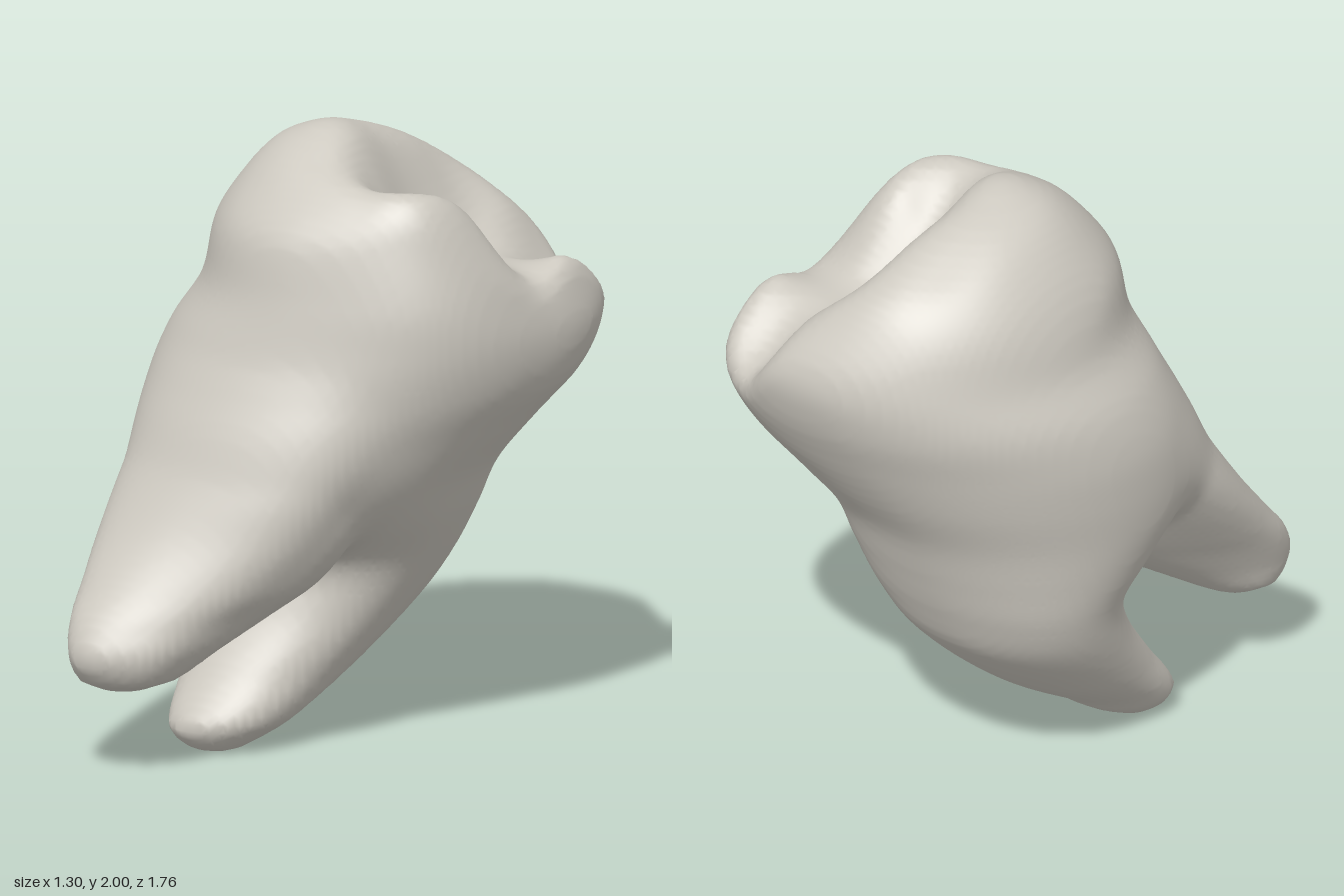
import * as THREE from 'three';

// Horizontal sections: height, x from/to, z from/to, diagonal lean, front right squareness
const BODY = [
  [0.00, -0.34, -0.20, 0.22, 0.34, -0.15, 0.0],
  [0.05, -0.40, -0.13, 0.12, 0.39, -0.20, 0.0],
  [0.10, -0.425, -0.07, 0.05, 0.40, -0.20, 0.0],
  [0.25, -0.465, 0.03, -0.20, 0.29, -0.15, 0.0],
  [0.45, -0.52, 0.16, -0.42, 0.16, -0.08, 0.0],
  [0.60, -0.555, 0.25, -0.50, 0.13, -0.05, 0.0],
  [0.75, -0.60, 0.33, -0.555, 0.28, -0.05, 0.0],
  [0.90, -0.635, 0.40, -0.61, 0.44, -0.05, -0.2],
  [1.05, -0.65, 0.50, -0.70, 0.47, -0.08, -0.3],
  [1.20, -0.645, 0.60, -0.785, 0.42, -0.12, 0.0],
  [1.35, -0.605, 0.635, -0.855, 0.37, -0.12, 0.5],
  [1.50, -0.52, 0.61, -0.88, 0.33, -0.10, 0.9],
  [1.70, -0.47, 0.55, -0.81, 0.285, -0.10, 0.9],
  [1.85, -0.39, 0.50, -0.72, 0.21, -0.05, 0.9],
  [2.00, -0.30, 0.43, -0.60, 0.11, 0.00, 0.9],
];
const FRONT_ROOT = [
  [0.28, -0.40, -0.28, 0.65, 0.77, -0.20, 0.3],
  [0.31, -0.46, -0.20, 0.60, 0.83, -0.28, 0.3],
  [0.40, -0.49, -0.11, 0.46, 0.88, -0.38, 0.3],
  [0.50, -0.515, -0.01, 0.31, 0.84, -0.46, 0.3],
  [0.60, -0.535, 0.10, 0.20, 0.76, -0.42, 0.3],
  [0.75, -0.56, 0.20, 0.10, 0.65, -0.27, 0.3],
  [0.90, -0.57, 0.26, 0.00, 0.565, -0.10, 0.3],
  [1.05, -0.55, 0.30, -0.10, 0.49, -0.02, 0.3],
  [1.25, -0.47, 0.28, -0.20, 0.37, 0.00, 0.3],
  [1.40, -0.38, 0.23, -0.20, 0.22, 0.00, 0.3],
];

// Chewing surface heights: columns x = -0.6..0.6, rows z = 0.3..-0.9
const CHEW = [
  [1.40, 1.70, 1.74, 1.75, 1.74, 1.72, 1.52],
  [1.48, 1.80, 1.89, 1.90, 1.86, 1.84, 1.60],
  [1.48, 1.83, 1.975, 1.975, 1.71, 1.80, 1.60],
  [1.48, 1.80, 1.95, 1.92, 1.57, 1.575, 1.52],
  [1.40, 1.72, 1.86, 1.87, 1.59, 1.53, 1.58],
  [1.28, 1.57, 1.73, 1.77, 1.65, 1.41, 1.46],
  [1.12, 1.37, 1.51, 1.59, 1.57, 1.37, 1.30],
];

const clamp = THREE.MathUtils.clamp;

// Polynomial smooth minimum and maximum
function smin(a, b, k) {
  const h = Math.max(k - Math.abs(a - b), 0) / k;
  return Math.min(a, b) - h * h * k / 4;
}
const smax = (a, b, k) => -smin(-a, -b, k);

// Smooth curve through unevenly spaced rows
function sectionAt(rows, y) {
  const last = rows.length - 1;
  y = clamp(y, rows[0][0], rows[last][0]);
  let i = 0;
  while (i < last - 1 && y > rows[i + 1][0]) i++;
  const a = rows[i], b = rows[i + 1];
  const p = rows[Math.max(i - 1, 0)], q = rows[Math.min(i + 2, last)];
  const h = b[0] - a[0], t = (y - a[0]) / h, t2 = t * t, t3 = t2 * t;
  return [1, 2, 3, 4, 5, 6].map((c) => {
    const ma = (b[c] - p[c]) / (b[0] - p[0]) * h;
    const mb = (q[c] - a[c]) / (q[0] - a[0]) * h;
    return (2 * t3 - 3 * t2 + 1) * a[c] + (t3 - 2 * t2 + t) * ma
      + (3 * t2 - 2 * t3) * b[c] + (t3 - t2) * mb;
  });
}

// Leaning oval section, squarer towards +x; negative inside
function wall([x0, x1, z0, z1, lean, square], x, z) {
  const a = (x1 - x0) / 2, b = (z1 - z0) / 2;
  const u = (x - (x0 + x1) / 2) / a, v = (z - (z0 + z1) / 2) / b;
  const p = 2.1 + (v < 0 ? 0.9 : square) * clamp(u, -0.1, 1);
  const n = Math.pow(Math.pow(Math.abs(u), p) + Math.pow(Math.abs(v), p), 1 / p);
  const diagonal = u * v / Math.max(u * u + v * v, 1e-9);
  const skew = Math.sqrt((1 - 2 * lean * diagonal) / (1 - lean * lean));
  return (n * skew - 1) * Math.min(a, b);
}

function spline(v, t) {
  const last = v.length - 1;
  t = clamp(t, 0, last);
  const i = Math.min(Math.floor(t), last - 1), f = t - i;
  const p = v[Math.max(i - 1, 0)], a = v[i], b = v[i + 1], q = v[Math.min(i + 2, last)];
  return a + 0.5 * f * (b - p + f * (2 * p - 5 * a + 4 * b - q + f * (3 * (a - b) + q - p)));
}
const chewHeight = (x, z) =>
  spline(CHEW.map((row) => spline(row, (x + 0.6) / 0.2)), (0.3 - z) / 0.2);

// Smooth surface around the negative region of a sampled field
function skin(field, min, size, step) {
  const n = size.map((s) => Math.ceil(s / step) + 1);
  const stride = [1, n[0], n[0] * n[1]];
  const f = new Float32Array(n[0] * n[1] * n[2]);
  for (let k = 0, c = 0; k < n[2]; k++)
    for (let j = 0; j < n[1]; j++)
      for (let i = 0; i < n[0]; i++, c++) f[c] = field(i, j, k);

  const cell = new Int32Array(f.length).fill(-1), pos = [], index = [];
  const eachCell = (visit) => {
    for (let k = 0; k < n[2] - 1; k++)
      for (let j = 0; j < n[1] - 1; j++)
        for (let i = 0; i < n[0] - 1; i++) visit([i, j, k], i + j * stride[1] + k * stride[2]);
  };
  // One vertex per crossed cell, at the mean of its edge crossings
  eachCell((at, c) => {
    const sum = [0, 0, 0];
    let count = 0;
    for (let corner = 0; corner < 8; corner++) {
      const o = [corner & 1, (corner >> 1) & 1, corner >> 2];
      const ca = c + o[0] + o[1] * stride[1] + o[2] * stride[2];
      for (let d = 0; d < 3; d++) {
        if (o[d]) continue;
        const fa = f[ca], fb = f[ca + stride[d]];
        if ((fa < 0) === (fb < 0)) continue;
        for (let e = 0; e < 3; e++) sum[e] += o[e] + (e === d ? fa / (fa - fb) : 0);
        count++;
      }
    }
    if (!count) return;
    cell[c] = pos.length / 3;
    for (let e = 0; e < 3; e++) pos.push(min[e] + step * (at[e] + sum[e] / count));
  });
  // One quad around each crossed grid edge
  eachCell((at, c) => {
    for (let d = 0; d < 3; d++) {
      const inside = f[c] < 0;
      if (inside === (f[c + stride[d]] < 0)) continue;
      const u = stride[(d + 1) % 3], v = stride[(d + 2) % 3];
      const q = [cell[c - u - v], cell[c - v], cell[c], cell[c - u]];
      if (!inside) q.reverse();
      index.push(q[0], q[1], q[2], q[0], q[2], q[3]);
    }
  });
  const geometry = new THREE.BufferGeometry();
  geometry.setAttribute('position', new THREE.Float32BufferAttribute(pos, 3));
  geometry.setIndex(index);
  geometry.computeVertexNormals();
  return geometry;
}

export function createModel() {
  const step = 0.025, min = [-0.81, -0.11, -1.06], size = [1.6, 2.25, 2.1];
  const levels = Array.from({ length: Math.ceil(size[1] / step) + 1 }, (_, j) => {
    const y = min[1] + j * step;
    return { y, body: sectionAt(BODY, y), root: sectionAt(FRONT_ROOT, y) };
  });
  const tops = new Map();

  const field = (i, j, k) => {
    const x = min[0] + i * step, z = min[2] + k * step;
    const { y, body, root } = levels[j];
    const key = i + k * 1000;
    if (!tops.has(key)) tops.set(key, chewHeight(x, z));
    // Crown and back root, closed above by the chewing surface
    let main = smax(wall(body, x, z), -y, 0.03);
    main = smax(main, (y - tops.get(key)) * 0.7, 0.06);
    // Front root, fading out inside the crown
    let front = smax(wall(root, x, z), 0.28 - y, 0.03);
    front = smax(front, y - 1.4, 0.05);
    return smin(main, front, 0.08);
  };

  const enamel = new THREE.MeshStandardMaterial({ color: 0xcdc9c0 });
  enamel.name = 'enamel';
  const tooth = new THREE.Mesh(skin(field, min, size, step), enamel);
  tooth.name = 'tooth';
  const group = new THREE.Group();
  group.name = 'molar';
  group.add(tooth);
  return group;
}
